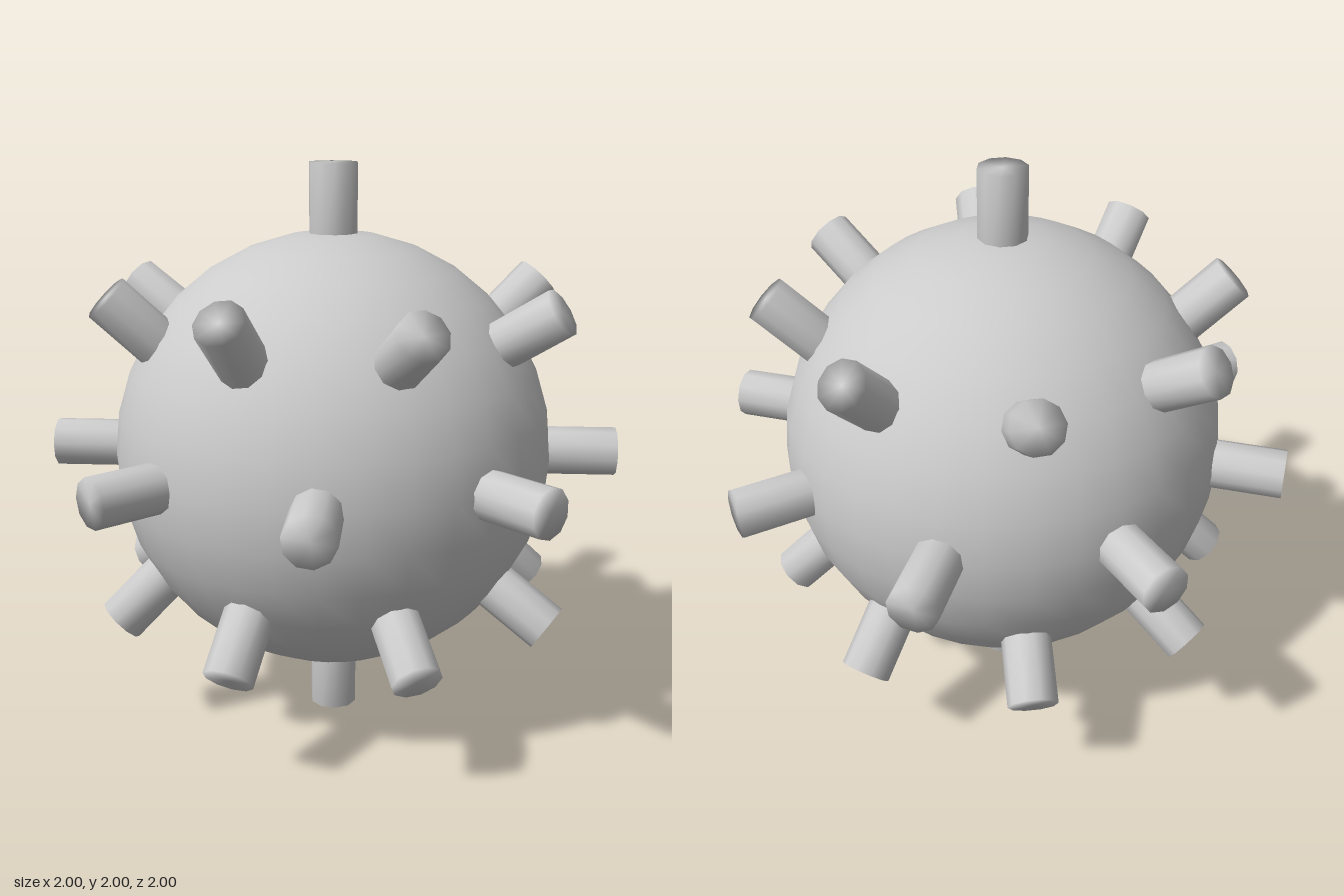
import * as THREE from 'three';
import { mergeVertices } from 'three/addons/utils/BufferGeometryUtils.js';

const RADIUS = 0.77, STUD_RADIUS = 0.085, STUD_LENGTH = 0.4;

// Ten-sided stud whose outer end is at the origin, normals blended over the rim
function studGeometry() {
  const g = new THREE.CylinderGeometry(STUD_RADIUS, STUD_RADIUS, STUD_LENGTH, 10);
  g.translate(0, -STUD_LENGTH / 2, 0);
  g.deleteAttribute('normal');
  g.deleteAttribute('uv');
  const merged = mergeVertices(g);
  merged.computeVertexNormals();
  return merged;
}

export function createModel() {
  const model = new THREE.Group();
  model.name = 'studdedBall';
  const material = new THREE.MeshStandardMaterial({ color: 0xcccccc });

  const body = new THREE.Mesh(new THREE.SphereGeometry(RADIUS, 32, 16), material);
  body.name = 'body';
  body.position.y = 1;
  model.add(body);

  const geometry = studGeometry();
  const up = new THREE.Vector3(0, 1, 0);
  function addStud(name, tip, axis = tip) {
    const stud = new THREE.Mesh(geometry, material);
    stud.name = name;
    stud.position.set(tip[0], tip[1] + 1, tip[2]);
    stud.quaternion.setFromUnitVectors(up, new THREE.Vector3(...axis).normalize());
    model.add(stud);
  }

  // Top and bottom studs
  addStud('topStud', [0, 1, 0]);
  addStud('bottomStud', [0, -1, 0]);

  // Eight studs around the equator
  for (let i = 0; i < 8; i++) {
    const a = (i * Math.PI) / 4;
    addStud('equatorStud', [Math.cos(a), 0, Math.sin(a)]);
  }

  // Upper and lower rings, mirrored into every octant
  for (const sx of [1, -1]) for (const sy of [1, -1]) for (const sz of [1, -1]) {
    const mirror = (x, y, z) => [x * sx, y * sy, z * sz];
    const ring = sy > 0 ? 'upper' : 'lower';
    addStud(ring + 'SideStud', mirror(0.72, 0.575, 0.315), mirror(0.64, 0.7, 0.33));
    addStud(ring + 'EndStud', mirror(0.313, 0.548, 0.757), mirror(0.33, 0.54, 0.78));
  }
  return model;
}
